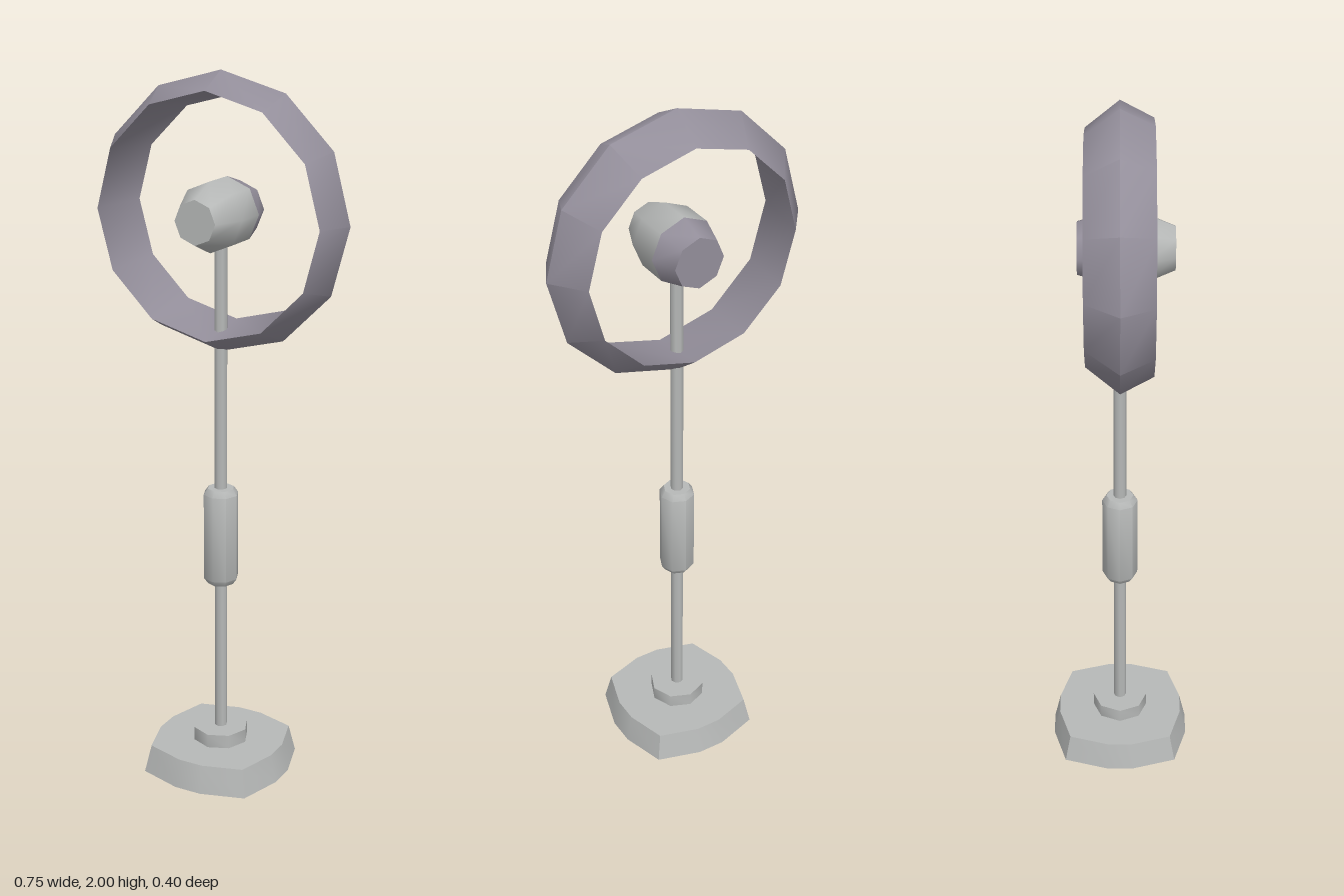
import * as THREE from 'three';
import { toCreasedNormals } from 'three/addons/utils/BufferGeometryUtils.js';

const grey = new THREE.MeshStandardMaterial({ color: 0xb6b8b7, side: THREE.DoubleSide });
grey.name = 'light grey';
const mauve = new THREE.MeshStandardMaterial({ color: 0x938e9a });
mauve.name = 'mauve grey';

// Turned shape from [radius, height] pairs running upwards on the outside
function turned(profile, sides, start = 0) {
  const points = profile.map(([r, y]) => new THREE.Vector2(r, y));
  return new THREE.LatheGeometry(points, sides, start);
}

export function createModel() {
  const model = new THREE.Group();
  model.name = 'ringWand';

  function add(name, geometry, material, crease = 0.9) {
    const mesh = new THREE.Mesh(toCreasedNormals(geometry.toNonIndexed(), crease), material);
    mesh.name = name;
    model.add(mesh);
    return mesh;
  }

  // Hollow foot: a twelve-sided plan squared off towards four diagonal corners
  const foot = turned([[0.2, 0], [0.182, 0.08], [0, 0.08]], 12, Math.PI / 12);
  const pos = foot.attributes.position;
  const squared = (v, r) => {
    const a = Math.abs(v) / r;
    return Math.sign(v) * r * (a < 0.5 ? 0.2 : a < 0.9 ? 0.815 : 1);
  };
  for (let i = 0; i < pos.count; i++) {
    const x = pos.getX(i), z = pos.getZ(i), r = Math.hypot(x, z);
    if (r > 0.01) {
      pos.setX(i, squared(x, r));
      pos.setZ(i, squared(z, r));
    }
  }
  add('foot', foot, grey);

  // Upright parts
  add('collar', turned([[0.08, 0.08], [0.08, 0.12], [0, 0.12]], 8), grey);
  add('pole', turned([[0.018, 0.08], [0.018, 1.58]], 8), grey);
  add('grip', turned([
    [0, 0.57], [0.038, 0.57], [0.05, 0.587], [0.05, 0.838], [0.038, 0.855], [0, 0.855],
  ], 8), grey);

  // Parts turned about the z axis, centred in the ring
  const facing = [
    ['ring', [[0.305, -0.09], [0.375, 0], [0.33, 0.088], [0.305, -0.09]], 12, mauve, 1.2],
    ['hubBack', [[0, -0.11], [0.072, -0.11], [0.095, -0.035]], 8, mauve, 0.9],
    ['hubFront', [[0.095, -0.035], [0.095, 0.06], [0.06, 0.142], [0, 0.142]], 8, grey, 0.9],
  ];
  for (const [name, profile, sides, material, crease] of facing) {
    const geometry = turned(profile, sides).rotateX(Math.PI / 2);
    add(name, geometry, material, crease).position.y = 1.625;
  }

  return model;
}
